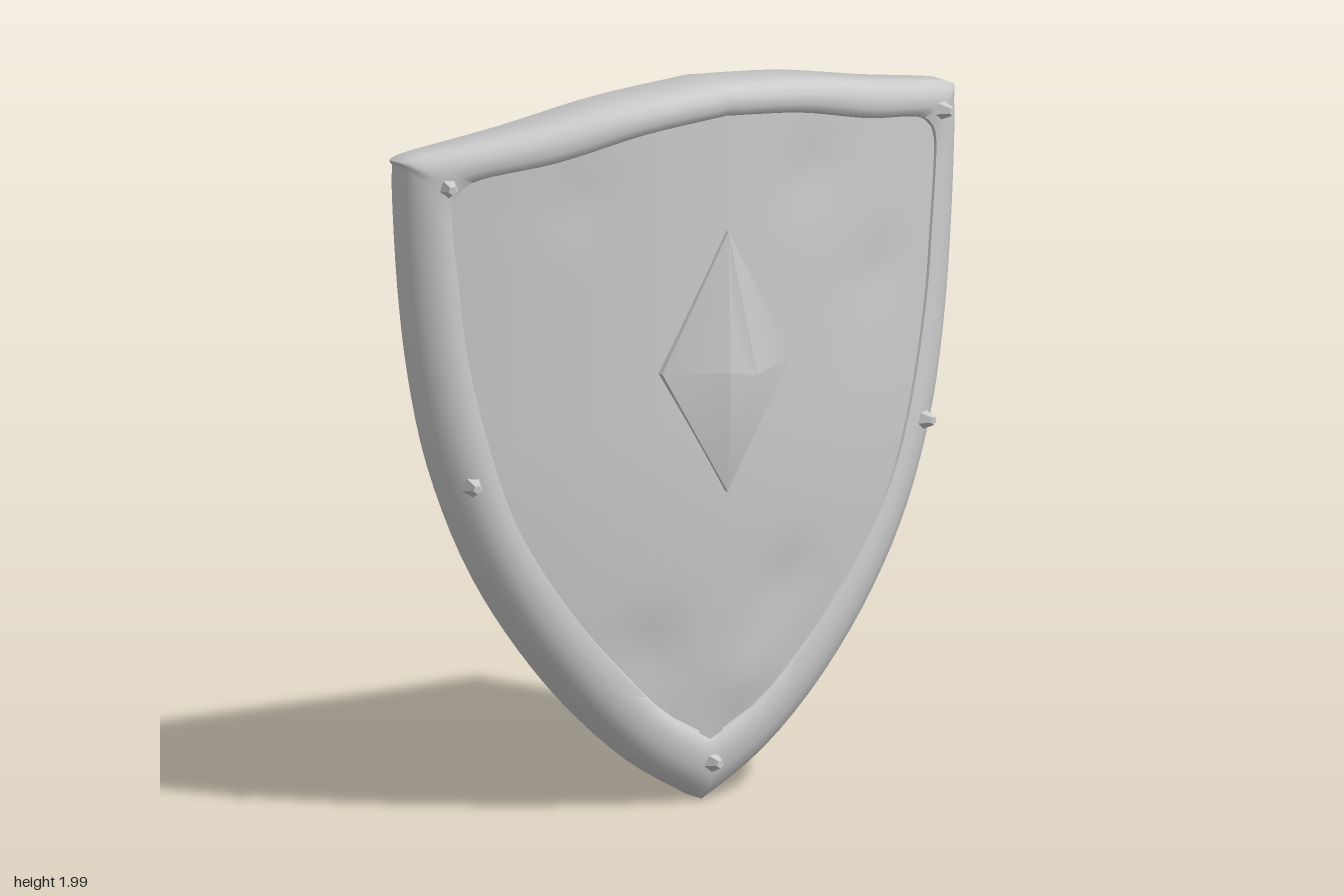
import * as THREE from 'three';
import { toCreasedNormals } from 'three/addons/utils/BufferGeometryUtils.js';
import { RoundedBoxGeometry } from 'three/addons/geometries/RoundedBoxGeometry.js';

const GREY = 0xcccccc;

// Half outlines of the rim, from the bottom tip up the side, then along the top
const OUTER_SIDE = [[0, 0.01], [0.2, 0.13], [0.4, 0.31], [0.57, 0.52], [0.7, 0.74], [0.8, 1], [0.855, 1.25], [0.885, 1.5], [0.9, 1.75], [0.9, 1.84]];
const INNER_SIDE = [[0, 0.2], [0.14, 0.28], [0.29, 0.42], [0.45, 0.6], [0.6, 0.83], [0.68, 1.05], [0.74, 1.3], [0.765, 1.5], [0.785, 1.7], [0.77, 1.76]];
const OUTER_TOP = [[0.9, 1.84], [0.88, 1.87], [0.6, 1.92], [0.3, 1.975], [0, 2]];
const INNER_TOP = [[0.77, 1.76], [0.7, 1.8], [0.5, 1.83], [0.25, 1.885], [0, 1.91]];

const sample = (pts, n) => new THREE.SplineCurve(pts.map(p => new THREE.Vector2(...p))).getPoints(n);

// Curved front and back depth of the shield
const frontZ = (x, y) => 0.14 + 0.1 * Math.sin(Math.min(1, Math.max(0, y) / 1.1) * Math.PI / 2) - 0.25 * x * x;
const backZ = x => 0.02 - 0.125 * x * x;

function buildGeometry(positions, index) {
  const g = new THREE.BufferGeometry();
  g.setAttribute('position', new THREE.Float32BufferAttribute(positions, 3));
  g.setIndex(index);
  return g;
}

function addMesh(parent, name, geometry, options = {}) {
  const mesh = new THREE.Mesh(geometry, new THREE.MeshStandardMaterial({ color: GREY, ...options }));
  mesh.name = name;
  parent.add(mesh);
  return mesh;
}

// Mirrors a half outline into a closed loop
function closedLoop(side, top) {
  const half = [...sample(side, 36), ...sample(top, 20).slice(1)];
  const left = half.slice(1, -1).reverse().map(p => new THREE.Vector2(-p.x, p.y));
  return [...half, ...left];
}

// Rounded rim: a section swept between the outer and inner outlines
function rimGeometry() {
  const outer = closedLoop(OUTER_SIDE, OUTER_TOP);
  const inner = closedLoop(INNER_SIDE, INNER_TOP);
  // [inward fraction, uses front depth, depth offset]
  const section = [[0, 0, 0.02], [0, 1, -0.03], [0.12, 1, -0.008], [0.35, 1, 0.006], [0.65, 1, 0.008],
    [0.88, 1, -0.004], [1, 1, -0.04], [1, 0, 0.03], [0.85, 0, 0.006], [0.5, 0, 0], [0.12, 0, 0.003]];
  const n = outer.length, m = section.length, pos = [], idx = [];
  for (let i = 0; i < n; i++) {
    for (const [t, front, dz] of section) {
      const p = outer[i].clone().lerp(inner[i], t);
      pos.push(p.x, p.y, (front ? frontZ(p.x, p.y) : backZ(p.x)) + dz);
    }
  }
  for (let i = 0; i < n; i++) {
    for (let j = 0; j < m; j++) {
      const i2 = (i + 1) % n, j2 = (j + 1) % m;
      const a = i * m + j, b = i2 * m + j, c = i2 * m + j2, d = i * m + j2;
      idx.push(a, b, c, a, c, d);
    }
  }
  return toCreasedNormals(buildGeometry(pos, idx), 0.9);
}

// Linear lookup in a list of [key, value] pairs with rising keys
function lookup(pairs, k) {
  if (k <= pairs[0][0]) return pairs[0][1];
  for (let i = 1; i < pairs.length; i++) {
    const [k0, v0] = pairs[i - 1], [k1, v1] = pairs[i];
    if (k <= k1) return v0 + (v1 - v0) * (k - k0) / (k1 - k0 || 1);
  }
  return pairs[pairs.length - 1][1];
}
const widths = sample(INNER_SIDE, 60).slice(0, 57).map(p => [p.y, p.x]);
const tops = sample(INNER_TOP, 30).reverse().map(p => [p.x, p.y]);

// Grid filling the rim opening; rows follow rowYs, then blend into the arched top
function panelGeometry(rowYs, columns, topRows, grow, zAt, back) {
  const pos = [], idx = [], last = rowYs[rowYs.length - 1];
  const rows = [...rowYs.map(y => [y, 0])];
  for (let r = 1; r <= topRows; r++) rows.push([last, r / topRows]);
  // The back plate has one extra column on each side as a wall
  const us = Array.from({ length: columns + 1 }, (_, i) => [-1 + 2 * i / columns, 0]);
  if (back) { us.unshift([-1, 0.08]); us.push([1, 0.08]); }
  for (const [y0, t] of rows) {
    for (const [u, wall] of us) {
      const top = lookup(tops, Math.abs(u) * 0.77) + grow;
      const y = y0 + t * (top - y0);
      const x = u * (lookup(widths, y) + grow);
      pos.push(x, y, zAt(x, y) + wall);
    }
  }
  const w = us.length;
  for (let r = 0; r < rows.length - 1; r++) {
    for (let c = 0; c < w - 1; c++) {
      const a = r * w + c, b = a + 1, d = a + w, e = d + 1;
      if (back) idx.push(a, e, b, a, d, e);
      else idx.push(a, b, e, a, e, d);
    }
  }
  const g = buildGeometry(pos, idx);
  g.computeVertexNormals();
  return g;
}

// Diamond boss with two front peaks and a groove between them
function bossGeometry() {
  const pos = [
    0, 1.6, 0.24, -0.215, 1.23, 0.235, 0, 0.88, 0.235, 0.21, 1.23, 0.235,
    -0.03, 1.22, 0.295, 0.05, 1.21, 0.305, 0, 1.3, 0.265,
    0, 1.6, 0.15, -0.215, 1.23, 0.15, 0, 0.88, 0.15, 0.21, 1.23, 0.15];
  const idx = [0, 1, 4, 1, 2, 4, 2, 5, 4, 2, 3, 5, 3, 0, 5, 0, 4, 6, 0, 6, 5, 4, 5, 6];
  for (let i = 0; i < 4; i++) {
    const j = (i + 1) % 4;
    idx.push(i, 7 + i, 7 + j, i, 7 + j, j);
  }
  return toCreasedNormals(buildGeometry(pos, idx), 0.6);
}

export function createModel() {
  const model = new THREE.Group();
  model.name = 'shield';

  addMesh(model, 'rim', rimGeometry());

  // Front face with shallow dents: [x, y, radius, depth]
  const dents = [[0.22, 0.6, 0.09, 0.012], [-0.22, 0.45, 0.1, 0.012], [0.1, 0.35, 0.08, -0.012],
    [0.55, 1.4, 0.08, 0.01], [0.3, 1.72, 0.1, 0.01], [-0.45, 1.72, 0.09, 0.008]];
  const faceZ = (x, y) => dents.reduce((z, [dx, dy, r, d]) =>
    z - d * Math.exp(-((x - dx) ** 2 + (y - dy) ** 2) / (r * r)), frontZ(x, y) - 0.012);
  const faceRows = Array.from({ length: 29 }, (_, i) => 0.16 + i * 0.05);
  addMesh(model, 'frontFace', panelGeometry(faceRows, 32, 6, 0.02, faceZ, false), { side: THREE.DoubleSide });

  // Back plate in three flat bands
  const profile = [[0.2, 0.03], [0.82, -0.085], [1.55, -0.085], [1.91, 0]];
  const plateRows = [0.2, 0.28, 0.36, 0.48, 0.6, 0.72, 0.82, 1.05, 1.3, 1.55];
  addMesh(model, 'backPlate', panelGeometry(plateRows, 16, 4, 0, (x, y) => lookup(profile, y), true),
    { side: THREE.DoubleSide, flatShading: true });

  addMesh(model, 'boss', bossGeometry());

  // Handle on the back
  const handle = new THREE.Group();
  handle.name = 'handle';
  model.add(handle);
  const block = (name, w, h, d, y, z) =>
    addMesh(handle, name, new RoundedBoxGeometry(w, h, d, 2, 0.02)).position.set(0, y, z);
  block('grip', 0.13, 0.74, 0.13, 1.11, -0.237);
  for (const y of [1.48, 0.73]) {
    block('mountBar', 0.39, 0.12, 0.08, y, -0.118);
    block('mountStub', 0.13, 0.125, 0.15, y, -0.173);
  }

  // Rivets on the rim, and one on the back of the tip
  const rivet = new THREE.CylinderGeometry(0.012, 0.032, 0.05, 5).rotateX(Math.PI / 2);
  const places = [[0.815, 1.81], [-0.815, 1.79], [0.735, 0.97], [-0.75, 0.96], [0, 0.12]];
  for (const [x, y] of places) {
    const r = addMesh(model, 'rivet', rivet, { flatShading: true });
    r.position.set(x, y, frontZ(x, y) + 0.018);
    r.rotation.y = x * 0.4;
  }
  const backRivet = addMesh(model, 'backRivet', rivet, { flatShading: true });
  backRivet.position.set(0, 0.12, 0.008);
  backRivet.rotation.y = Math.PI;

  return model;
}
